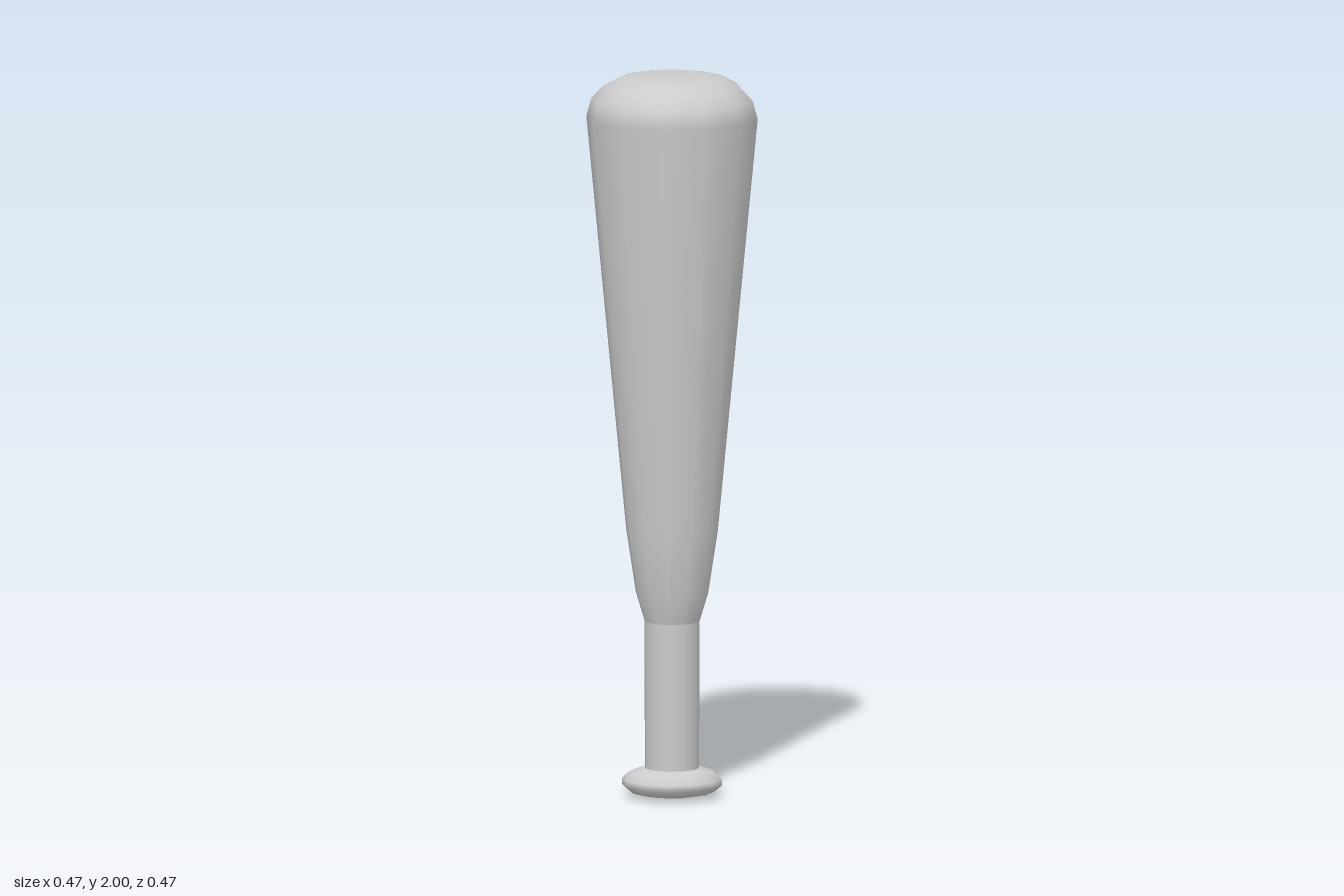
import * as THREE from 'three';

const SIDES = 12;

// Turn a profile of [radius, height] points, listed bottom to top, around y
function turned(name, profile, material) {
  const points = profile.map(([r, y]) => new THREE.Vector2(r, y));
  const mesh = new THREE.Mesh(new THREE.LatheGeometry(points, SIDES), material);
  mesh.name = name;
  return mesh;
}

export function createModel() {
  const group = new THREE.Group();
  group.name = 'bat';
  const material = new THREE.MeshStandardMaterial({ color: 0xcccccc, side: THREE.DoubleSide });

  // Rounded end knob with a nearly flat base
  group.add(turned('knob', [
    [0, 0], [0.07, 0.003], [0.115, 0.012], [0.137, 0.03],
    [0.137, 0.048], [0.115, 0.067], [0.075, 0.078],
  ], material));

  // Straight grip
  group.add(turned('handle', [[0.075, 0.07], [0.075, 0.2], [0.076, 0.485]], material));

  // Flared shoulder, long tapered barrel and domed tip
  group.add(turned('barrel', [
    [0.076, 0.485], [0.1, 0.565], [0.126, 0.735], [0.236, 1.88],
    [0.222, 1.93], [0.19, 1.965], [0.145, 1.989], [0.08, 2], [0, 2],
  ], material));

  return group;
}
